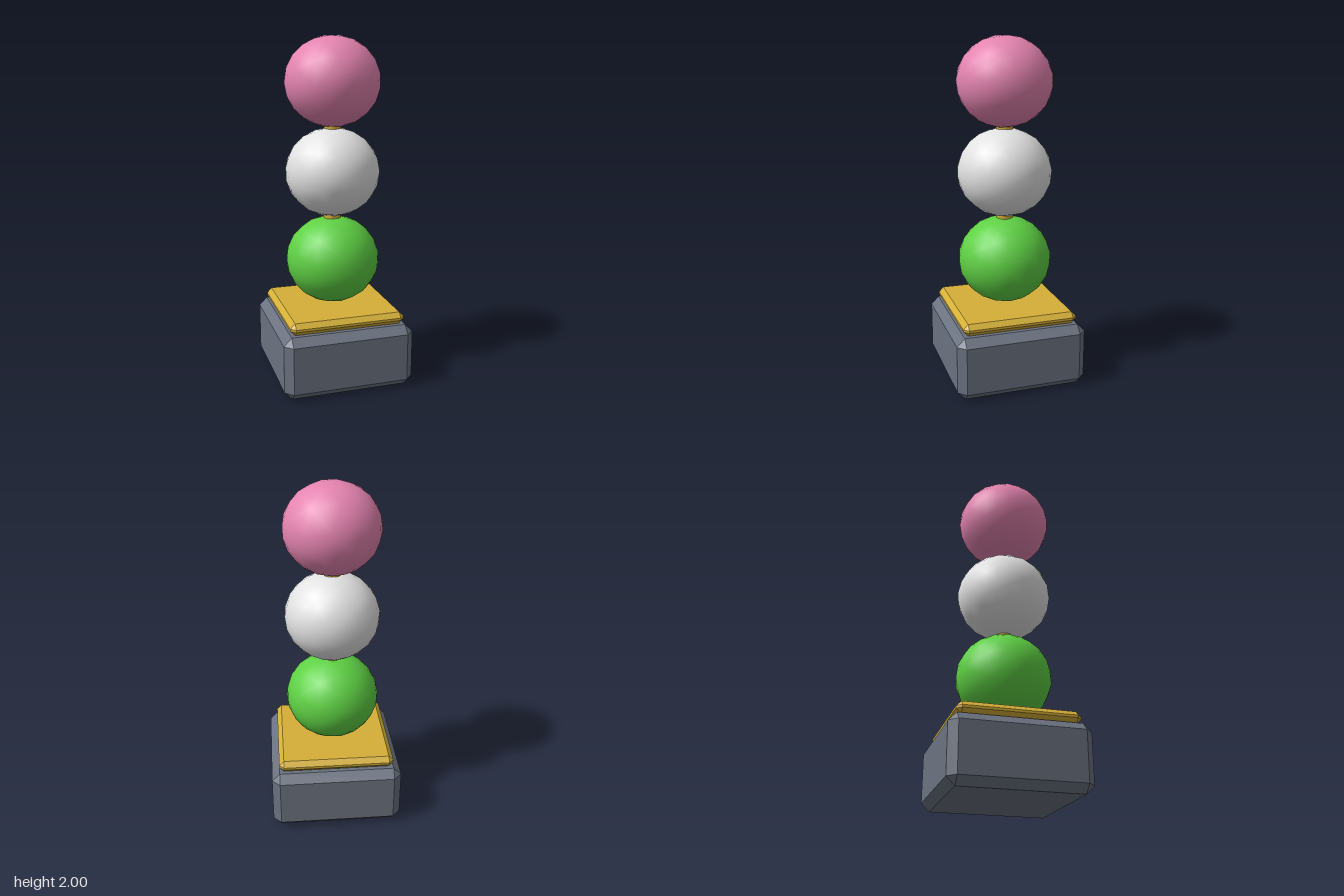
import * as THREE from 'three';
import { ConvexGeometry } from 'three/addons/geometries/ConvexGeometry.js';

const makeMaterial = (name, color) => {
  const material = new THREE.MeshStandardMaterial({ color });
  material.name = name;
  return material;
};

// Box with every edge cut at 45 degrees: three points per corner
function chamferedBox(hx, hy, hz, c) {
  const points = [];
  for (const sx of [-1, 1]) for (const sy of [-1, 1]) for (const sz of [-1, 1]) {
    points.push(
      new THREE.Vector3(sx * hx, sy * (hy - c), sz * (hz - c)),
      new THREE.Vector3(sx * (hx - c), sy * hy, sz * (hz - c)),
      new THREE.Vector3(sx * (hx - c), sy * (hy - c), sz * hz));
  }
  return new ConvexGeometry(points);
}

export function createModel() {
  const group = new THREE.Group();
  const slate = makeMaterial('slate', 0x6b7280);
  const gold = makeMaterial('gold', 0xd4af37);
  const green = makeMaterial('green', 0x5fd044);
  const white = makeMaterial('white', 0xe2e2e2);
  const pink = makeMaterial('pink', 0xe484b0);

  const add = (name, geometry, material, y) => {
    const mesh = new THREE.Mesh(geometry, material);
    mesh.name = name;
    mesh.position.y = y;
    group.add(mesh);
    return mesh;
  };

  // Plinth and trim plate
  add('base', chamferedBox(0.383, 0.185, 0.383, 0.046), slate, 0.185);
  add('trimPlate', chamferedBox(0.338, 0.035, 0.338, 0.028), gold, 0.405);

  // Stacked, slightly flattened balls, each turned a little differently
  const balls = [
    ['lowerBall', green, 0.703, 0.2],
    ['middleBall', white, 1.227, 0.9],
    ['upperBall', pink, 1.744, 1.7],
  ];
  for (const [name, material, y, turn] of balls) {
    const geometry = new THREE.IcosahedronGeometry(0.275, 3);
    geometry.rotateX(0.15).rotateY(turn).scale(1, 0.94, 1);
    add(name, geometry, material, y);
  }

  // Short pins joining the balls
  for (const [name, y] of [['lowerPin', 0.965], ['upperPin', 1.485]]) {
    add(name, new THREE.CylinderGeometry(0.05, 0.05, 0.06, 12), gold, y);
  }
  return group;
}
